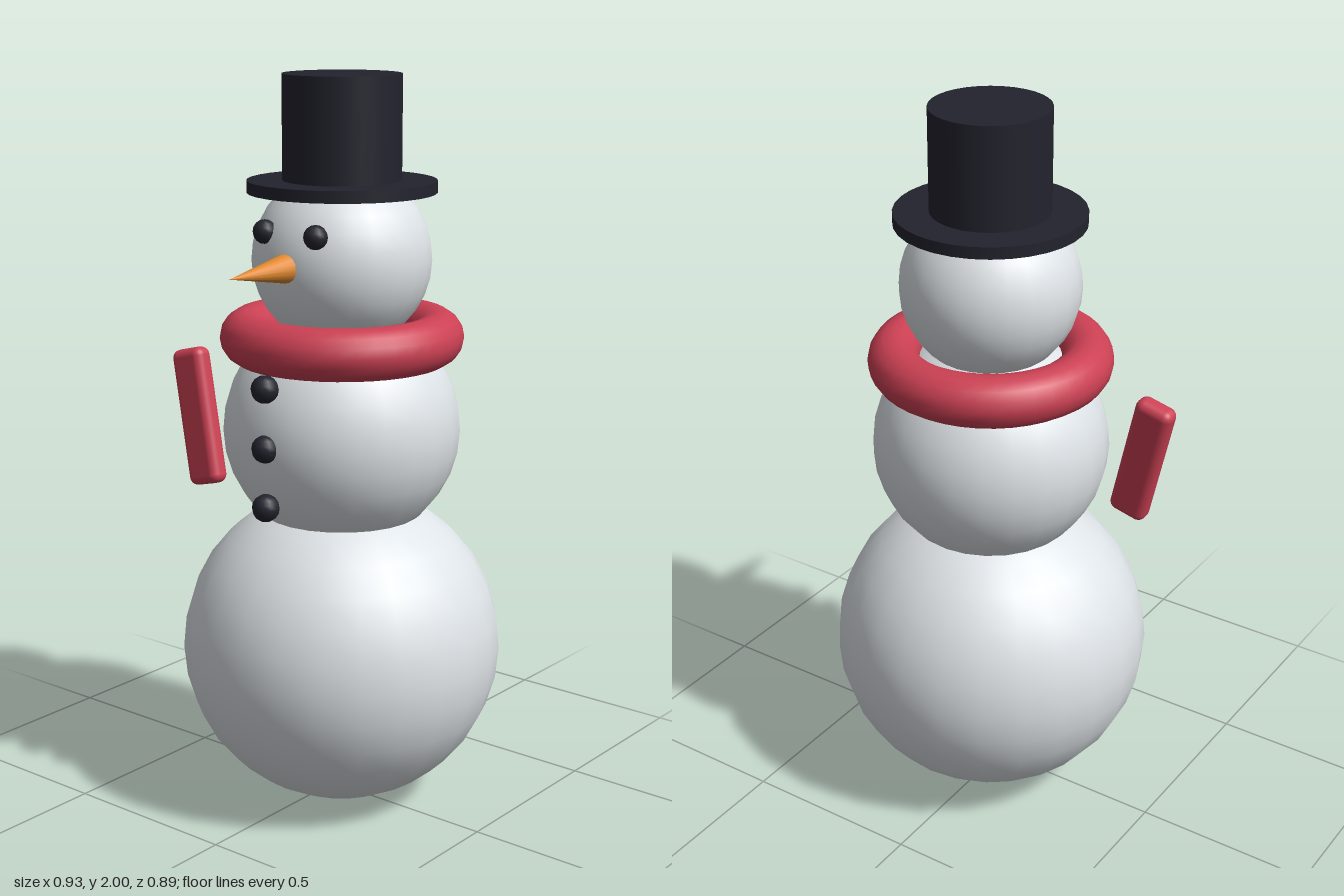
import * as THREE from 'three';
import { RoundedBoxGeometry } from 'three/addons/geometries/RoundedBoxGeometry.js';

const material = (name, color) => {
  const m = new THREE.MeshStandardMaterial({ color });
  m.name = name;
  return m;
};

export function createModel() {
  const snow = material('snow', 0xdfe4e8);
  const coal = material('coal black', 0x23232e);
  const red = material('scarf red', 0xcc4154);
  const orange = material('carrot orange', 0xe28a30);

  const model = new THREE.Group();
  model.name = 'snowman';
  // The body axis sits slightly off centre because the scarf tail sticks out
  const body = new THREE.Group();
  body.name = 'body';
  body.position.set(0.025, 0, -0.006);
  model.add(body);

  const add = (name, geometry, mat, x, y, z) => {
    const mesh = new THREE.Mesh(geometry, mat);
    mesh.name = name;
    mesh.position.set(x, y, z);
    body.add(mesh);
    return mesh;
  };
  const ball = (r, w = 24, h = 16) => new THREE.SphereGeometry(r, w, h);

  // Stacked snowballs
  add('lowerBall', ball(0.44), snow, 0, 0.44, 0);
  add('middleBall', ball(0.322), snow, 0, 1.057, 0);
  add('head', ball(0.241), snow, 0, 1.518, 0);

  // Top hat
  add('hatBrim', new THREE.CylinderGeometry(0.252, 0.252, 0.032, 32), coal, 0, 1.709, 0);
  add('hatCrown', new THREE.CylinderGeometry(0.158, 0.158, 0.275, 32), coal, 0, 1.8625, 0);

  // Face
  for (const [name, side] of [['rightEye', -1], ['leftEye', 1]]) {
    add(name, ball(0.032, 12, 8), coal, side * 0.085, 1.604, 0.214);
  }
  const nose = add('carrotNose', new THREE.ConeGeometry(0.042, 0.234, 16), orange, 0, 1.518, 0.33);
  nose.rotation.x = Math.PI / 2;

  // Buttons down the chest
  [1.216, 1.057, 0.898].forEach((y, i) => {
    add('button' + (i + 1), ball(0.037, 12, 8), coal, 0, y, 0.318);
  });

  // Scarf ring and loose tail
  const ring = add('scarfRing', new THREE.TorusGeometry(0.258, 0.07, 16, 40), red, 0, 1.308, 0);
  ring.rotation.x = Math.PI / 2;
  const tail = add('scarfTail', new RoundedBoxGeometry(0.11, 0.382, 0.06, 4, 0.024), red, -0.393, 1.052, 0.143);
  tail.rotation.set(-0.09, 0, 0.25);

  return model;
}
